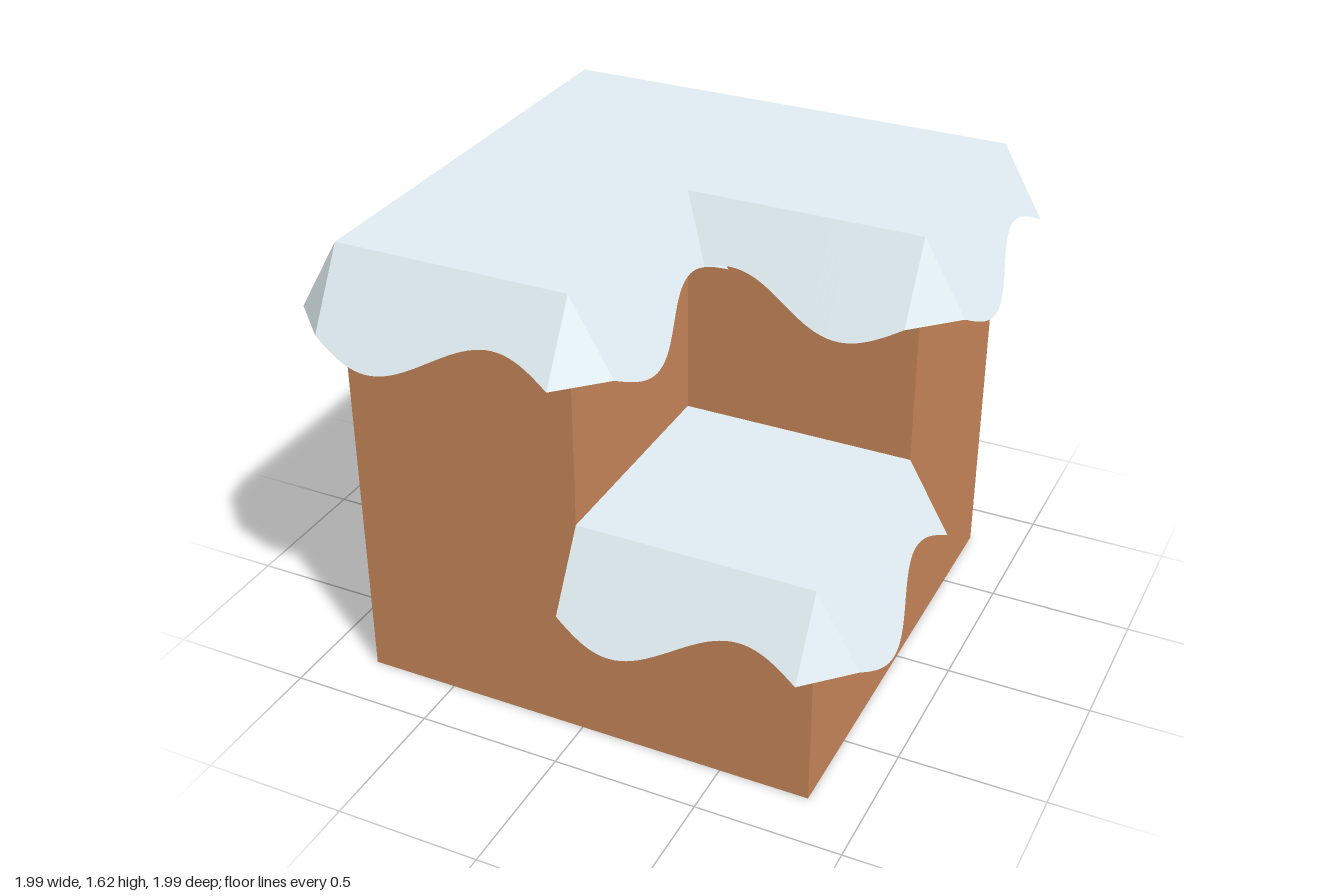
import * as THREE from 'three';

const H = 0.81;        // half width of the block, also the step height
const DROP = 0.294;    // mean length of a hanging flap
const WAVE = 0.08;     // wave height of its lower edge
const OUT = 0.5, DOWN = Math.sqrt(3) / 2; // flap slope

const earth = new THREE.MeshStandardMaterial({ color: 0xc68659, side: THREE.DoubleSide });
const snow = new THREE.MeshStandardMaterial({ color: 0xe0edf2, side: THREE.DoubleSide });

// Outlines as [x, z], counter-clockwise seen from above
const square = [[-H, H], [H, H], [H, -H], [-H, -H]];
const lShape = [[-H, H], [0, H], [0, 0], [H, 0], [H, -H], [-H, -H]];
const notch = [[0, H], [H, H], [H, 0], [0, 0]];

function addMesh(parent, name, geometry, material) {
  const mesh = new THREE.Mesh(geometry, material);
  mesh.name = name;
  parent.add(mesh);
}

// Outward direction of an outline edge
function outward(a, b) {
  const dx = b[0] - a[0], dz = b[1] - a[1], l = Math.hypot(dx, dz);
  return [-dz / l, dx / l];
}

// Strip between an upper and a lower edge, each a function of t giving [x, y, z]
function strip(top, bottom, n) {
  const pos = [];
  for (let i = 0; i < n; i++) {
    const s = i / n, t = (i + 1) / n;
    pos.push(...bottom(s), ...bottom(t), ...top(t), ...bottom(s), ...top(t), ...top(s));
  }
  return fromPositions(pos);
}

function fromPositions(pos) {
  const g = new THREE.BufferGeometry();
  g.setAttribute('position', new THREE.Float32BufferAttribute(pos, 3));
  g.computeVertexNormals();
  return g;
}

const along = (a, b, y) => t => [a[0] + (b[0] - a[0]) * t, y, a[1] + (b[1] - a[1]) * t];

// Vertical walls around an outline
function addWalls(parent, name, path, y0, y1) {
  path.forEach((a, i) => {
    const b = path[(i + 1) % path.length];
    addMesh(parent, name, strip(along(a, b, y1), along(a, b, y0), 1), earth);
  });
}

// Flat horizontal panel
function panel(path, y) {
  const shape = new THREE.Shape(path.map(([x, z]) => new THREE.Vector2(x, -z)));
  return new THREE.ShapeGeometry(shape).rotateX(-Math.PI / 2).translate(0, y, 0);
}

// Sloping flap with a wavy lower edge; sign 1 hangs longest in its first half
function flap(a, b, y, sign) {
  const o = outward(a, b), top = along(a, b, y);
  const bottom = t => {
    const d = DROP + sign * WAVE * Math.sin(2 * Math.PI * t), p = top(t);
    return [p[0] + o[0] * d * OUT, y - d * DOWN, p[2] + o[1] * d * OUT];
  };
  return strip(top, bottom, 40);
}

// Triangle closing the gap between two flaps at an outer corner
function corner(a, p, b, y) {
  const foot = o => [p[0] + o[0] * DROP * OUT, y - DROP * DOWN, p[1] + o[1] * DROP * OUT];
  return fromPositions([p[0], y, p[1], ...foot(outward(a, p)), ...foot(outward(p, b))]);
}

export function createModel() {
  const model = new THREE.Group();
  model.name = 'snowyBlock';

  // Block with one quarter of its upper half cut away
  const block = new THREE.Group();
  block.name = 'earthBlock';
  addWalls(block, 'lowerWall', square, 0, H);
  addWalls(block, 'upperWall', lShape, H, 2 * H);
  addMesh(block, 'base', panel(square, 0).rotateX(Math.PI), earth);
  model.add(block);

  // Upper snow cover, with flaps on every edge and all outer corners closed
  const upper = new THREE.Group();
  upper.name = 'upperSnow';
  addMesh(upper, 'snowTop', panel(lShape, 2 * H), snow);
  lShape.forEach((p, i) => {
    const prev = lShape[(i + 5) % 6], next = lShape[(i + 1) % 6];
    addMesh(upper, 'snowFlap', flap(p, next, 2 * H, i === 2 ? -1 : 1), snow);
    if (i !== 2) addMesh(upper, 'snowCorner', corner(prev, p, next, 2 * H), snow);
  });
  model.add(upper);

  // Lower snow cover on the step, with flaps on its two outer edges
  const lower = new THREE.Group();
  lower.name = 'lowerSnow';
  addMesh(lower, 'snowTop', panel(notch, H), snow);
  addMesh(lower, 'snowFlap', flap(notch[0], notch[1], H, 1), snow);
  addMesh(lower, 'snowFlap', flap(notch[1], notch[2], H, 1), snow);
  addMesh(lower, 'snowCorner', corner(notch[0], notch[1], notch[2], H), snow);
  model.add(lower);

  return model;
}
